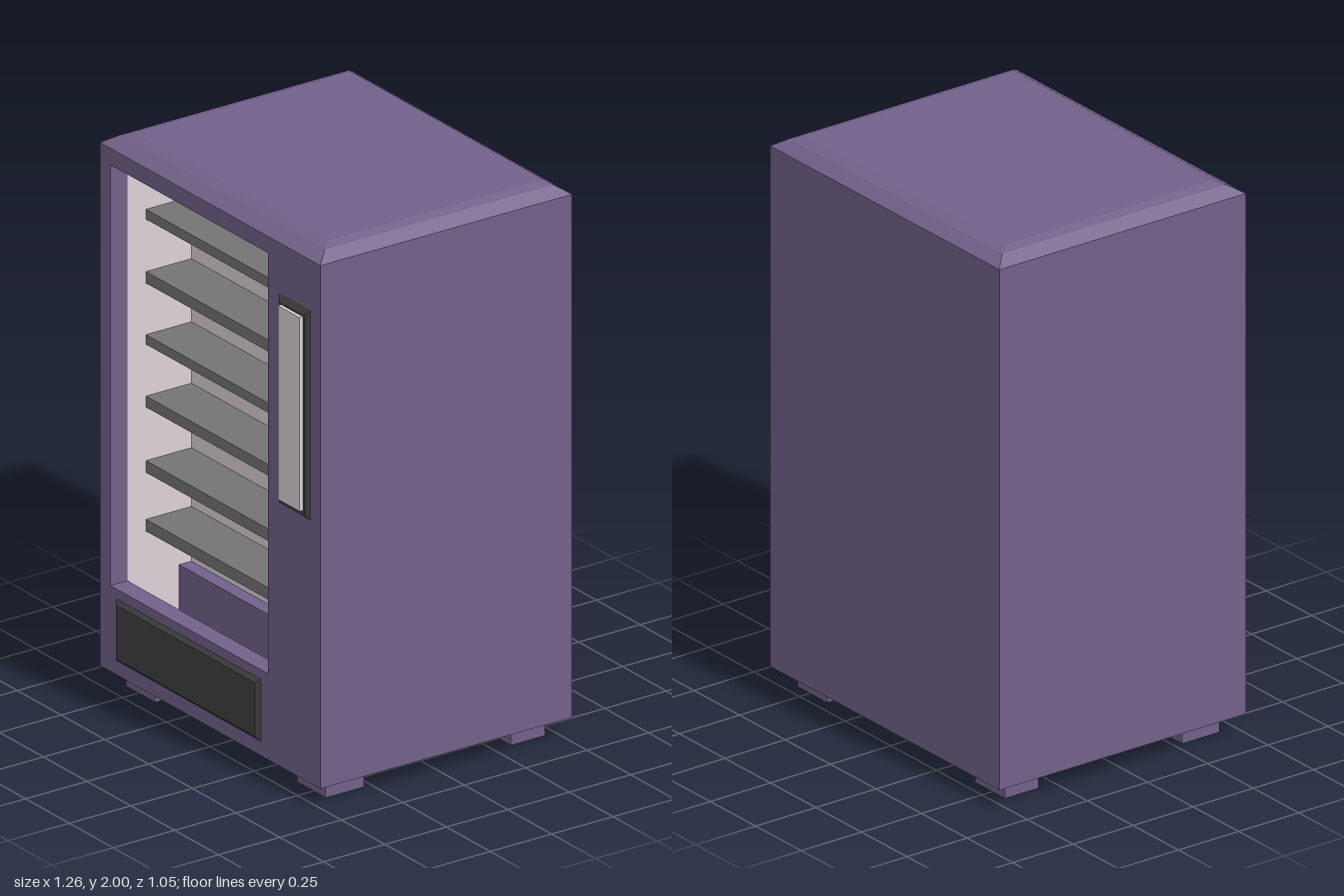
import * as THREE from 'three';

const mat = (color, side = THREE.FrontSide) =>
  new THREE.MeshStandardMaterial({ color, side, flatShading: true });

// Box face order used by BoxGeometry
const FACES = ['+x', '-x', '+y', '-y', '+z', '-z'];

// Box between two corners; listed faces are left out, inward turns it inside out
function box([x0, x1], [y0, y1], [z0, z1], drop = [], inward = false) {
  const g = new THREE.BoxGeometry(x1 - x0, y1 - y0, z1 - z0);
  g.translate((x0 + x1) / 2, (y0 + y1) / 2, (z0 + z1) / 2);
  const index = [];
  FACES.forEach((face, f) => {
    if (drop.includes(face)) return;
    for (let t = 0; t < 2; t++) {
      const tri = [0, 1, 2].map(k => g.index.getX(f * 6 + t * 3 + k));
      index.push(...(inward ? tri.reverse() : tri));
    }
  });
  g.setIndex(index);
  g.clearGroups();
  if (inward) g.getAttribute('normal').array.forEach((v, i, a) => { a[i] = -v; });
  return g;
}

// Stepped bevel: rectangles [x0, x1, y0, y1, z] joined in order, last one capped
function bevelled(rings) {
  const pos = [], index = [];
  for (const [x0, x1, y0, y1, z] of rings) pos.push(x0, y0, z, x1, y0, z, x1, y1, z, x0, y1, z);
  for (let r = 0; r < rings.length - 1; r++) {
    for (let i = 0; i < 4; i++) {
      const a = r * 4 + i, b = r * 4 + (i + 1) % 4;
      index.push(a, b, b + 4, a, b + 4, a + 4);
    }
  }
  const c = (rings.length - 1) * 4;
  index.push(c, c + 1, c + 2, c, c + 2, c + 3);
  const g = new THREE.BufferGeometry();
  g.setAttribute('position', new THREE.Float32BufferAttribute(pos, 3));
  g.setIndex(index);
  const flat = g.toNonIndexed();
  flat.computeVertexNormals();
  return flat;
}

function rectPath(path, [x0, x1], [y0, y1]) {
  path.moveTo(x0, y0);
  path.lineTo(x1, y0);
  path.lineTo(x1, y1);
  path.lineTo(x0, y1);
  path.closePath();
  return path;
}

export function createModel() {
  const group = new THREE.Group();
  const purple = mat(0x73618a), pale = mat(0xdcd0d8), grey = mat(0x747474), dark = mat(0x404040);
  const add = (name, geometry, material) => {
    const mesh = new THREE.Mesh(geometry, material);
    mesh.name = name;
    group.add(mesh);
    return mesh;
  };

  const X = [-0.63, 0.63], Y = [0.07, 1.96], Z = [-0.525, 0.5];
  const winX = [-0.57, 0.33], winY = [0.38, 1.9];
  const rimZ = 0.43, backZ = 0.17;

  // Cabinet: sides, back and base
  add('cabinet', box(X, Y, Z, ['+y', '+z']), purple);

  // Front panel with the window opening
  const front = rectPath(new THREE.Shape(), X, Y);
  front.holes.push(rectPath(new THREE.Path(), winX, winY));
  add('frontPanel', new THREE.ShapeGeometry(front).translate(0, 0, Z[1]), purple);
  add('windowRim', box(winX, winY, [rimZ, Z[1]], ['+z', '-z'], true), purple);

  // Bevelled roof
  add('roof', bevelled([
    [X[0], X[1], -0.5, 0.525, 1.96],
    [-0.585, 0.585, -0.45, 0.48, 1.99],
    [-0.55, 0.55, -0.41, 0.435, 2.0],
  ]).rotateX(-Math.PI / 2), purple);

  // Display compartment with a drop chute below the window sill
  add('compartment', box(winX, [0.12, winY[1]], [backZ, rimZ], ['+z'], true), pale);
  add('chuteLedge', box(winX, [0.12, 0.385], [backZ, 0.22], ['-x', '+x', '-z', '-y']), purple);

  // Shelves: bottom and top heights
  [[0.54, 0.583], [0.752, 0.795], [0.988, 1.028], [1.215, 1.25], [1.436, 1.478], [1.667, 1.703]]
    .forEach((y, i) => add('shelf' + (i + 1), box(winX, y, [backZ, 0.355]), grey));

  // Pickup hatch
  add('pickupHatch', bevelled([
    [-0.535, 0.29, 0.122, 0.345, 0.5],
    [-0.52, 0.276, 0.136, 0.331, 0.513],
  ]), dark);

  // Control panel: dark bezel and two pale plates
  add('controlBezel', bevelled([
    [0.395, 0.575, 1.02, 1.78, 0.5],
    [0.412, 0.56, 1.04, 1.76, 0.513],
  ]), dark);
  add('controlPlateLower', box([0.424, 0.549], [1.05, 1.435], [0.5, 0.526]), pale);
  add('controlPlateUpper', box([0.424, 0.549], [1.435, 1.75], [0.5, 0.526]), pale);

  // Feet
  for (const side of [-1, 1]) {
    const x = side < 0 ? [-0.57, -0.405] : [0.405, 0.57];
    add('frontFoot', box(x, [0, Y[0]], [0.28, 0.435]), purple);
    add('backFoot', box(x, [0, Y[0]], [-0.457, -0.318]), purple);
  }

  return group;
}
